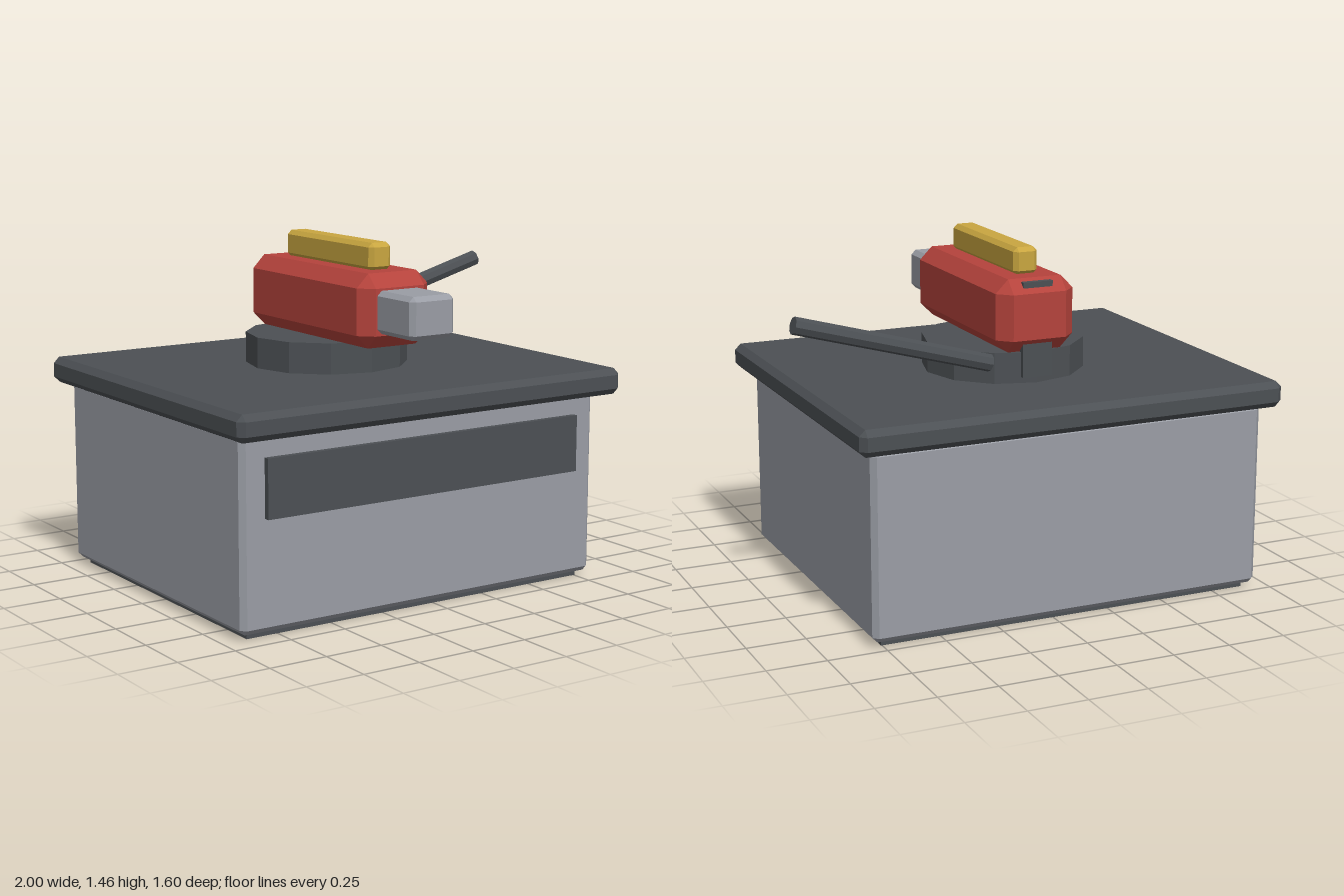
import * as THREE from 'three';
import { ConvexGeometry } from 'three/addons/geometries/ConvexGeometry.js';

const material = (name, color) => {
  const m = new THREE.MeshStandardMaterial({ color });
  m.name = name;
  return m;
};

// Box with bevelled edges and cut corners, given by its extents
function bevelBox([x0, x1], [y0, y1], [z0, z1], bevel) {
  const half = [(x1 - x0) / 2, (y1 - y0) / 2, (z1 - z0) / 2];
  const points = [];
  for (const sx of [-1, 1]) for (const sy of [-1, 1]) for (const sz of [-1, 1]) {
    for (let axis = 0; axis < 3; axis++) {
      const h = half.map((v, i) => (i === axis ? v : v - bevel));
      points.push(new THREE.Vector3(sx * h[0], sy * h[1], sz * h[2]));
    }
  }
  return new ConvexGeometry(points).translate((x0 + x1) / 2, (y0 + y1) / 2, (z0 + z1) / 2);
}

// Plain box, given by its extents
function box([x0, x1], [y0, y1], [z0, z1]) {
  return new THREE.BoxGeometry(x1 - x0, y1 - y0, z1 - z0)
    .translate((x0 + x1) / 2, (y0 + y1) / 2, (z0 + z1) / 2);
}

export function createModel() {
  const group = new THREE.Group();
  const grey = material('light grey metal', 0x9a9da5);
  const dark = material('dark grey metal', 0x4c5054);
  const red = material('red paint', 0xb5433c);
  const yellow = material('yellow paint', 0xc9a640);
  for (const m of [grey, dark, red, yellow]) m.flatShading = true;

  const add = (name, geometry, mat) => {
    const mesh = new THREE.Mesh(geometry, mat);
    mesh.name = name;
    group.add(mesh);
    return mesh;
  };

  // Cabinet with its plinth, worktop and front panel
  add('plinth', box([-0.89, 0.755], [0, 0.06], [-0.69, 0.65]), dark);
  add('cabinet', bevelBox([-0.935, 0.8], [0.025, 0.81], [-0.735, 0.695], 0.022), grey);
  add('worktop', bevelBox([-1, 0.865], [0.805, 0.915], [-0.8, 0.8], 0.026), dark);
  add('frontPanel', box([-0.83, 0.69], [0.48, 0.72], [0.68, 0.72]), dark);

  // Twelve-sided swivel base
  add('swivelBase', new THREE.CylinderGeometry(0.345, 0.345, 0.14, 12)
    .translate(-0.065, 0.975, -0.045), dark);

  // Vise body, jaw, top bar and rear plate
  add('body', bevelBox([-0.24, 0.108], [1.045, 1.35], [-0.412, 0.5], 0.056), red);
  add('jaw', bevelBox([-0.177, 0.037], [1.11, 1.285], [0.4, 0.738], 0.02), grey);
  add('topBar', bevelBox([-0.12, -0.013], [1.345, 1.46], [-0.282, 0.368], 0.018), yellow);
  add('rearPlate', box([-0.132, 0], [0.94, 1.338], [-0.392, -0.362]), dark);

  // Slanted lever beside the body
  const start = new THREE.Vector3(0.15, 1.02, -0.395);
  const end = new THREE.Vector3(0.987, 1.254, -0.395);
  const lever = add('lever', new THREE.CylinderGeometry(0.036, 0.036, start.distanceTo(end), 8), dark);
  lever.position.copy(start).lerp(end, 0.5);
  lever.quaternion.setFromUnitVectors(new THREE.Vector3(0, 1, 0), end.clone().sub(start).normalize());

  return group;
}
